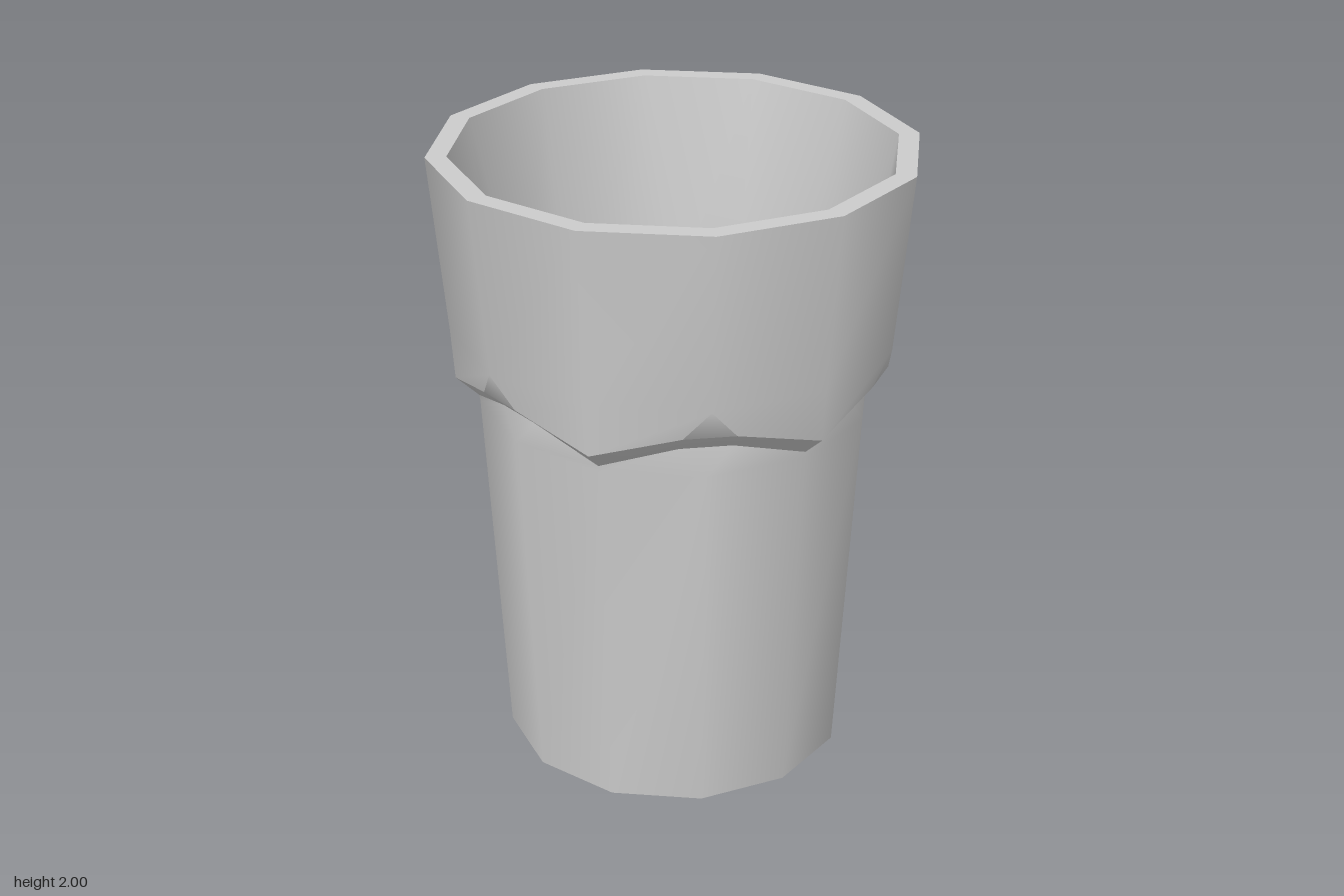
import * as THREE from 'three';
import { toCreasedNormals } from 'three/addons/utils/BufferGeometryUtils.js';

// Twelve-sided ring. Every other corner may be cut into a pair of corners
// (cut = distance along the sides), and those pairs may sit higher by lift.
function ring(r, y, cut = 0, lift = 0) {
  const corner = (i) => new THREE.Vector3(r * Math.cos(i * Math.PI / 6), y, r * Math.sin(i * Math.PI / 6));
  const points = [];
  for (let i = 0; i < 12; i += 2) {
    const mid = corner(i + 1);
    points.push(corner(i));
    for (const side of [corner(i), corner(i + 2)]) {
      const p = mid.clone();
      if (cut > 0) p.add(side.sub(mid).setLength(cut));
      p.y += lift;
      points.push(p);
    }
  }
  return points;
}

// Skin between successive rings, leaving out triangles that collapse
function loft(rings, crease) {
  const pos = [];
  const tri = (a, b, c) => {
    const area = b.clone().sub(a).cross(c.clone().sub(a)).length();
    if (area > 1e-7) for (const p of [a, b, c]) pos.push(p.x, p.y, p.z);
  };
  for (let i = 0; i < rings.length - 1; i++) {
    const lo = rings[i], hi = rings[i + 1], n = lo.length;
    for (let j = 0; j < n; j++) {
      const k = (j + 1) % n;
      tri(lo[j], hi[j], lo[k]);
      tri(hi[j], hi[k], lo[k]);
    }
  }
  const geo = new THREE.BufferGeometry();
  geo.setAttribute('position', new THREE.Float32BufferAttribute(pos, 3));
  return toCreasedNormals(geo, crease);
}

export function createModel() {
  const group = new THREE.Group();
  group.name = 'tumbler';
  const material = new THREE.MeshStandardMaterial({ color: 0xcccccc });
  const add = (name, rings, crease) => {
    const mesh = new THREE.Mesh(loft(rings, crease), material);
    mesh.name = name;
    group.add(mesh);
  };

  // Base, tapered body, zigzag shoulder and flared upper wall
  add('outerWall', [
    ring(0, 0),
    ring(0.555, 0),
    ring(0.619, 1.19),
    ring(0.622, 1.21, 0.083, 0.07),
    ring(0.693, 1.275, 0.083, 0.07),
    ring(0.704, 1.44),
    ring(0.755, 2),
  ], 0.6);

  // Flat rim, inner wall and rounded floor
  const inside = [
    ring(0.755, 2),
    ring(0.69, 2),
    ring(0.565, 1.27, 0.083),
    ring(0.53, 0.37, 0.083),
  ];
  for (const t of [0.85, 0.68, 0.5, 0.3, 0.12, 0]) {
    inside.push(ring(0.53 * t, 0.1 + 0.27 * t * t, 0.083 * t));
  }
  add('rimAndInside', inside, 1.05);

  return group;
}
